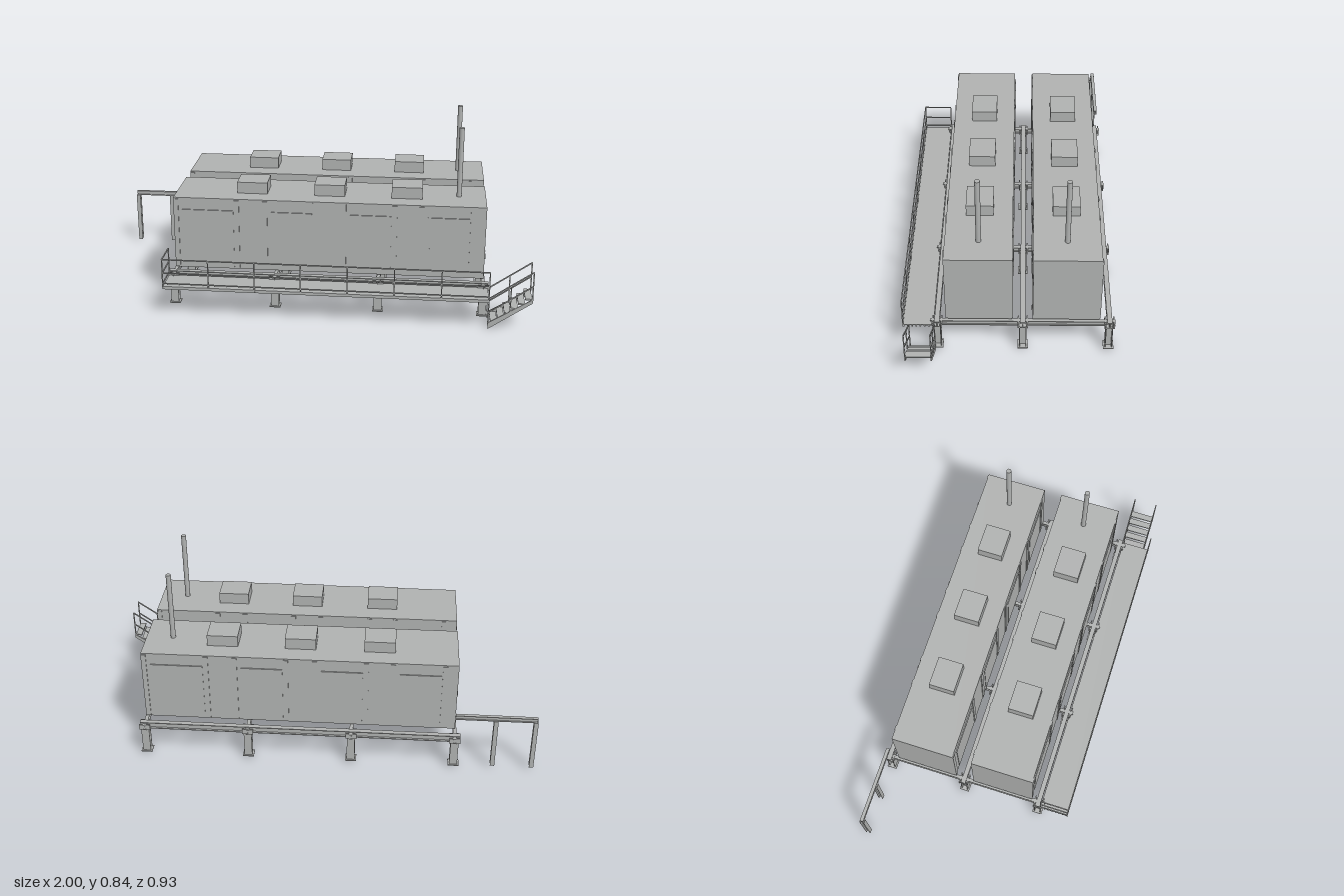
import * as THREE from 'three';

const steel = new THREE.MeshStandardMaterial({ color: 0xb0b2b1, side: THREE.DoubleSide });
steel.name = 'grey steel';

function add(parent, name, geometry, x = 0, y = 0, z = 0) {
  const mesh = new THREE.Mesh(geometry, steel);
  mesh.name = name;
  mesh.position.set(x, y, z);
  parent.add(mesh);
  return mesh;
}

// box given by its two extreme corners
function block(parent, name, [x0, x1], [y0, y1], [z0, z1]) {
  return add(parent, name, new THREE.BoxGeometry(x1 - x0, y1 - y0, z1 - z0),
    (x0 + x1) / 2, (y0 + y1) / 2, (z0 + z1) / 2);
}

// I-section of width w and height h, centred, running along 'x', 'y' or 'z'
function iSection(length, w, h, axis, t = 0.004) {
  const a = w / 2, b = h / 2, c = t / 2;
  const pts = [[-a, -b], [a, -b], [a, -b + t], [c, -b + t], [c, b - t], [a, b - t],
    [a, b], [-a, b], [-a, b - t], [-c, b - t], [-c, -b + t], [-a, -b + t]];
  const shape = new THREE.Shape(pts.map(p => new THREE.Vector2(...p)));
  const g = new THREE.ExtrudeGeometry(shape, { depth: length, bevelEnabled: false });
  g.translate(0, 0, -length / 2);
  if (axis === 'x') g.rotateY(Math.PI / 2);
  if (axis === 'y') g.rotateX(Math.PI / 2);
  return g;
}

// square bar between two points
function bar(parent, name, a, b, t = 0.006) {
  const p = new THREE.Vector3(...a), q = new THREE.Vector3(...b);
  const mesh = add(parent, name, new THREE.BoxGeometry(t, t, p.distanceTo(q)));
  mesh.position.copy(p).add(q).multiplyScalar(0.5);
  mesh.lookAt(q);
  return mesh;
}

function group(parent, name) {
  const g = new THREE.Group();
  g.name = name;
  parent.add(g);
  return g;
}

const columnX = [-0.635, -0.165, 0.308, 0.783];
const columnZ = [0.313, -0.06, -0.438];

// enclosure with framed doors, roof vents and an exhaust stack
function container(parent, zc) {
  const g = group(parent, 'container');
  g.position.z = zc;
  block(g, 'containerBody', [-0.635, 0.785], [0.172, 0.514], [-0.145, 0.145]);
  for (const side of [1, -1]) {
    const wall = group(g, 'longWall');
    wall.position.x = 0.075;
    if (side < 0) wall.rotation.y = Math.PI;
    const posts = [0, 0.28, 0.41, 0.64, 0.77, 1.0, 1.12, 1.35].map(v => v - 0.71);
    for (const x of posts) block(wall, 'wallPost', [x, x + 0.022], [0.178, 0.508], [0.144, 0.149]);
    for (let i = 0; i < 8; i += 2) {
      const x0 = posts[i] + 0.05, x1 = posts[i + 1] - 0.004;
      block(wall, 'door', [x0, x1], [0.18, 0.452], [0.144, 0.147]);
      block(wall, 'doorLintel', [x0 - 0.01, x1], [0.452, 0.458], [0.144, 0.15]);
    }
  }
  for (const x of [-0.283, 0.074, 0.427]) {
    block(g, 'roofVent', [x - 0.07, x + 0.07], [0.513, 0.567], [-0.06, 0.06]);
  }
  add(g, 'exhaustStack', new THREE.CylinderGeometry(0.0115, 0.0115, 0.326, 20), 0.663, 0.676, 0);
}

// columns with base plates, and the beam grid on top
function frame(parent) {
  const g = group(parent, 'supportFrame');
  for (const x of columnX) {
    for (const z of columnZ) {
      add(g, 'column', iSection(0.126, 0.036, 0.032, 'y'), x, 0.077, z);
      block(g, 'basePlate', [x - 0.025, x + 0.025], [0.011, 0.016], [z - 0.023, z + 0.023]);
      for (const s of [-1, 1]) {
        block(g, 'beamClamp', [x - 0.025, x + 0.025], [0.138, 0.164],
          [z + s * 0.019 - 0.003, z + s * 0.019 + 0.003]);
      }
    }
    add(g, 'crossBeam', iSection(0.806, 0.016, 0.026, 'z'), x, 0.15, -0.06);
  }
  for (const z of columnZ) add(g, 'longBeam', iSection(1.466, 0.022, 0.032, 'x'), 0.073, 0.154, z);
}

// deck with ribs below and a guard rail
function walkway(parent) {
  const g = group(parent, 'walkway');
  const x0 = -0.657, x1 = 0.803, z0 = 0.328, z1 = 0.461;
  block(g, 'deck', [x0, x1], [0.146, 0.151], [z0, z1]);
  for (let i = 0; i < 8; i++) {
    const z = z0 + 0.003 + i * 0.0181;
    block(g, 'deckRib', [x0, x1], [0.137, 0.146], [z - 0.003, z + 0.003]);
  }
  for (let i = 0; i < 8; i++) {
    const x = x0 + (x1 - x0) * i / 7;
    bar(g, 'railPost', [x, 0.14, z1], [x, 0.283, z1], 0.005);
  }
  for (const y of [0.166, 0.217, 0.282]) {
    bar(g, 'frontRail', [x0, y, z1], [x1, y, z1], 0.005);
    bar(g, 'endRail', [x0, y, z0], [x0, y, z1], 0.005);
  }
  bar(g, 'railPost', [x0, 0.14, z0], [x0, 0.283, z0], 0.005);
}

// sloping stair with handrails on both sides
function stairs(parent) {
  const g = group(parent, 'stairs');
  const x0 = 0.805, x1 = 0.997, rise = 0.134;
  const stringer = new THREE.Shape([[x0, 0], [x1, rise], [x1, 0.152], [x0, 0.03]]
    .map(p => new THREE.Vector2(...p)));
  const geo = new THREE.ExtrudeGeometry(stringer, { depth: 0.006, bevelEnabled: false });
  for (const z of [0.325, 0.436]) {
    add(g, 'stringer', geo, 0, 0, z - 0.003);
    for (const y of [0.08, 0.147]) bar(g, 'handrail', [x0, y, z], [x1 - 0.002, y + rise, z], 0.005);
    for (const t of [0, 0.5, 1]) {
      const x = x0 + (x1 - 0.003 - x0) * t;
      bar(g, 'handrailPost', [x, 0.015 + rise * t, z], [x, 0.147 + rise * t, z], 0.005);
    }
  }
  for (let i = 0; i < 6; i++) {
    const x = x0 + 0.025 + i * 0.0295, y = 0.032 + i * 0.0235;
    block(g, 'tread', [x - 0.015, x + 0.015], [y - 0.003, y + 0.003], [0.325, 0.436]);
  }
}

// outrigger beam carried on two posts
function pipeRack(parent) {
  const g = group(parent, 'pipeRack');
  add(g, 'rackBeam', iSection(0.365, 0.016, 0.022, 'x', 0.003), -0.8145, 0.272, -0.438);
  for (const x of [-0.99, -0.813]) {
    add(g, 'rackPost', iSection(0.25, 0.02, 0.022, 'y', 0.003), x, 0.137, -0.438);
  }
}

export function createModel() {
  const model = new THREE.Group();
  model.name = 'containerPlatform';
  container(model, 0.131);
  container(model, -0.248);
  frame(model);
  walkway(model);
  stairs(model);
  pipeRack(model);
  return model;
}
